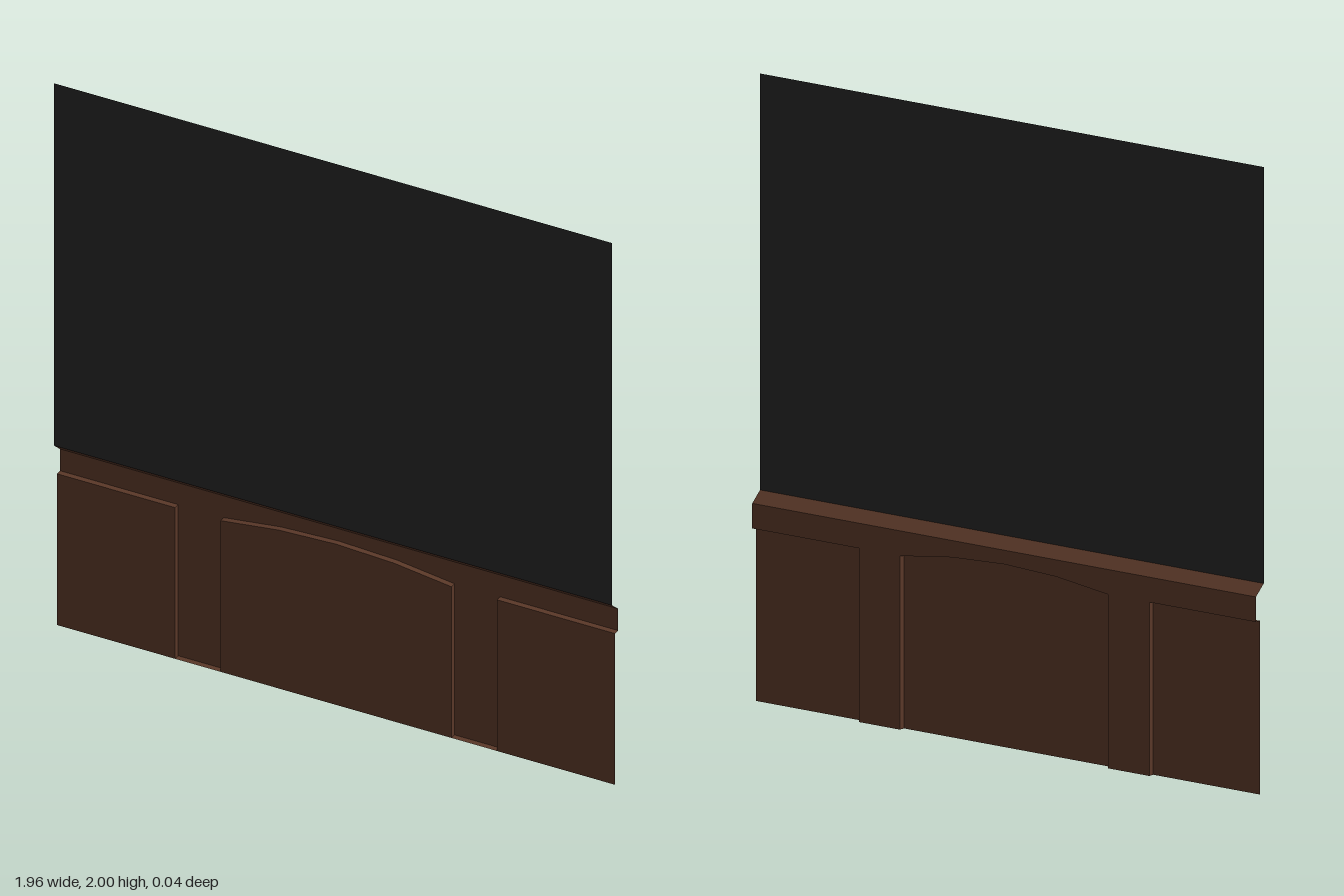
import * as THREE from 'three';

const W = 0.98;                            // half width
const FRONT = 0.02, PANEL = 0, BACK = -0.02; // depths of the three layers
const LEDGE_TOP = 0.67, RAIL_TOP = 0.635, PANEL_TOP = 0.555, ARCH_TOP = 0.59;
const SIDE_X = 0.565, MID_X = 0.405;       // inner edge of side panels, edge of middle panel

const wood = new THREE.MeshStandardMaterial({ color: 0x5a3828, side: THREE.DoubleSide });
wood.name = 'brown wood';
const black = new THREE.MeshStandardMaterial({ color: 0x262626, side: THREE.DoubleSide });
black.name = 'black wall';

// flat faces joining two point rows of equal length
function strip(a, b) {
  const pos = [];
  for (let i = 0; i < a.length - 1; i++) {
    for (const p of [a[i], a[i + 1], b[i + 1], a[i], b[i + 1], b[i]]) pos.push(...p);
  }
  const g = new THREE.BufferGeometry();
  g.setAttribute('position', new THREE.Float32BufferAttribute(pos, 3));
  g.computeVertexNormals();
  return g;
}

// flat outline placed at depth z
function plate(points, z) {
  const shape = new THREE.Shape(points.map(([x, y]) => new THREE.Vector2(x, y)));
  return new THREE.ShapeGeometry(shape).translate(0, 0, z);
}

export function createModel() {
  const group = new THREE.Group();
  const add = (name, geometry, material) => {
    const mesh = new THREE.Mesh(geometry, material);
    mesh.name = name;
    group.add(mesh);
  };
  const rect = (x0, x1, y0, y1) => [[x0, y0], [x1, y0], [x1, y1], [x0, y1]];

  // shallow arch over the middle panel, left to right
  const arch = [-1, -0.5, 0, 0.5, 1].map(t =>
    [t * MID_X, ARCH_TOP - (ARCH_TOP - PANEL_TOP) * t * t]);

  // stepped line around the panels and across the stile feet
  const steps = [
    [-W, PANEL_TOP], [-SIDE_X, PANEL_TOP], [-SIDE_X, 0], [-MID_X, 0],
    ...arch,
    [MID_X, 0], [SIDE_X, 0], [SIDE_X, PANEL_TOP], [W, PANEL_TOP],
  ];

  // upper wall and the sloped underside that steps back to the rail
  add('upperWall', plate(rect(-W, W, LEDGE_TOP, 2), FRONT), black);
  add('slopedLedge', strip(
    [[-W, RAIL_TOP, BACK], [W, RAIL_TOP, BACK]],
    [[-W, LEDGE_TOP, FRONT], [W, LEDGE_TOP, FRONT]]), wood);

  // recessed rail with its two stiles
  add('railAndStiles', plate([...steps, [W, RAIL_TOP], [-W, RAIL_TOP]], BACK), wood);

  // raised panels and their edges
  add('leftPanel', plate(rect(SIDE_X, W, 0, PANEL_TOP), PANEL), wood);
  add('rightPanel', plate(rect(-W, -SIDE_X, 0, PANEL_TOP), PANEL), wood);
  add('archedPanel', plate([[-MID_X, 0], [MID_X, 0], ...[...arch].reverse()], PANEL), wood);
  add('panelEdges', strip(
    steps.map(([x, y]) => [x, y, PANEL]),
    steps.map(([x, y]) => [x, y, BACK])), wood);

  return group;
}
